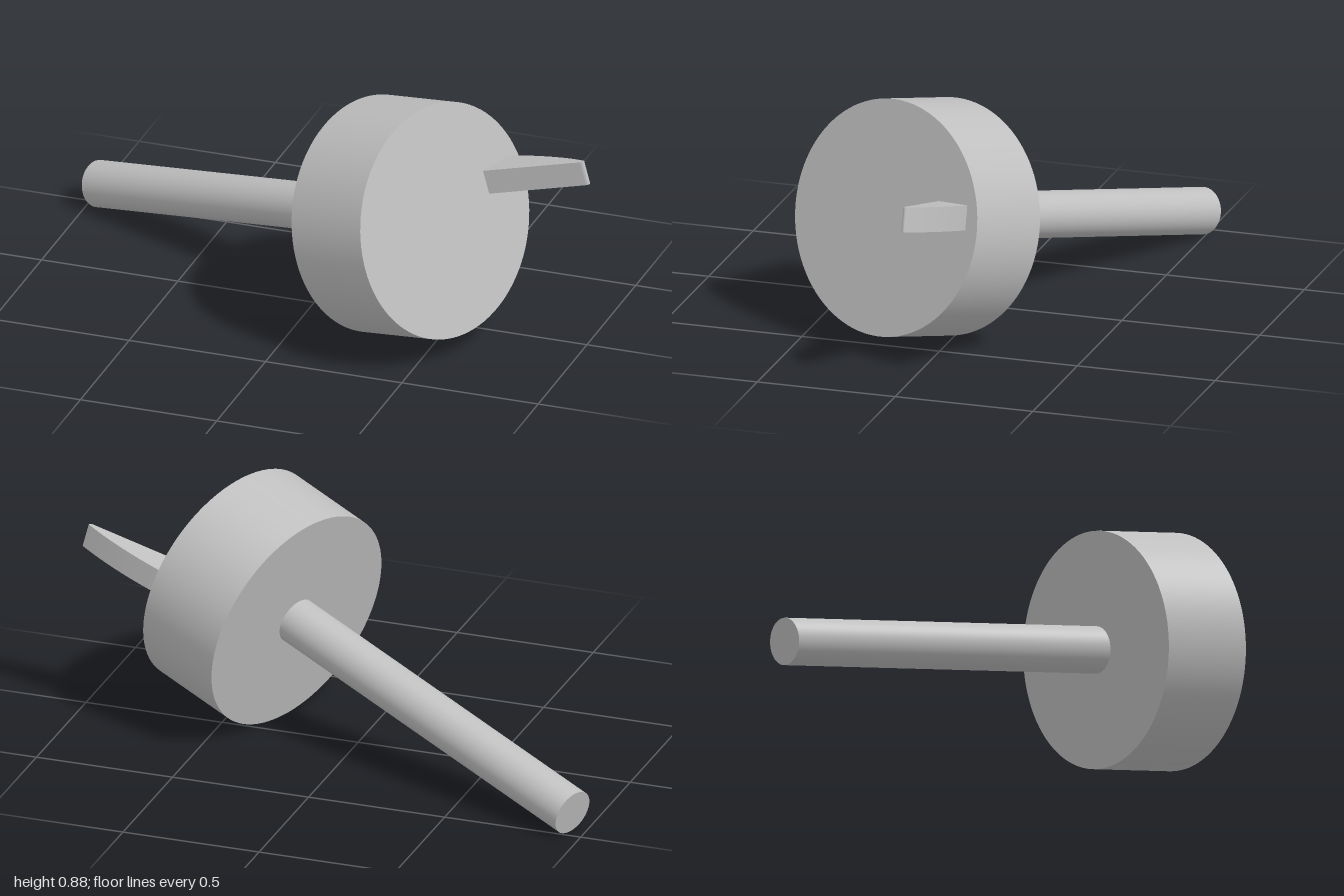
import * as THREE from 'three';

const grey = new THREE.MeshStandardMaterial({ color: 0xc0c0c0 });
grey.name = 'plain grey';

// Cylinder lying along the local x axis, from x0 to x1
function axialCylinder(name, radius, x0, x1) {
  const geometry = new THREE.CylinderGeometry(radius, radius, x1 - x0, 96);
  geometry.rotateZ(-Math.PI / 2).translate((x0 + x1) / 2, 0, 0);
  const mesh = new THREE.Mesh(geometry, grey);
  mesh.name = name;
  return mesh;
}

export function createModel() {
  const model = new THREE.Group();
  model.name = 'crankDisc';

  // Tilted frame: x runs along the shaft, origin at the centre of the disc face
  const assembly = new THREE.Group();
  assembly.name = 'tiltedAssembly';
  assembly.position.set(0.543, 0.485, 0.18);
  assembly.rotation.set(0, THREE.MathUtils.degToRad(-23), THREE.MathUtils.degToRad(15), 'ZYX');
  model.add(assembly);

  assembly.add(axialCylinder('disc', 0.412, -0.336, 0));
  assembly.add(axialCylinder('shaft', 0.082, -1.694, -0.33));

  // Tapered blade with a bowed outer side, standing off centre on the face
  const profile = new THREE.Shape();
  profile.moveTo(-0.005, 0.228);
  profile.lineTo(0.345, 0.364);
  profile.quadraticCurveTo(0.358, 0.37, 0.353, 0.38);
  profile.quadraticCurveTo(0.19, 0.396, -0.005, 0.359);
  profile.closePath();
  const bladeGeometry = new THREE.ExtrudeGeometry(profile, { depth: 0.087, bevelEnabled: false, curveSegments: 16 });
  bladeGeometry.rotateX(-Math.PI / 2);
  const blade = new THREE.Mesh(bladeGeometry, grey);
  blade.name = 'blade';
  blade.position.y = -0.002;
  assembly.add(blade);

  return model;
}
